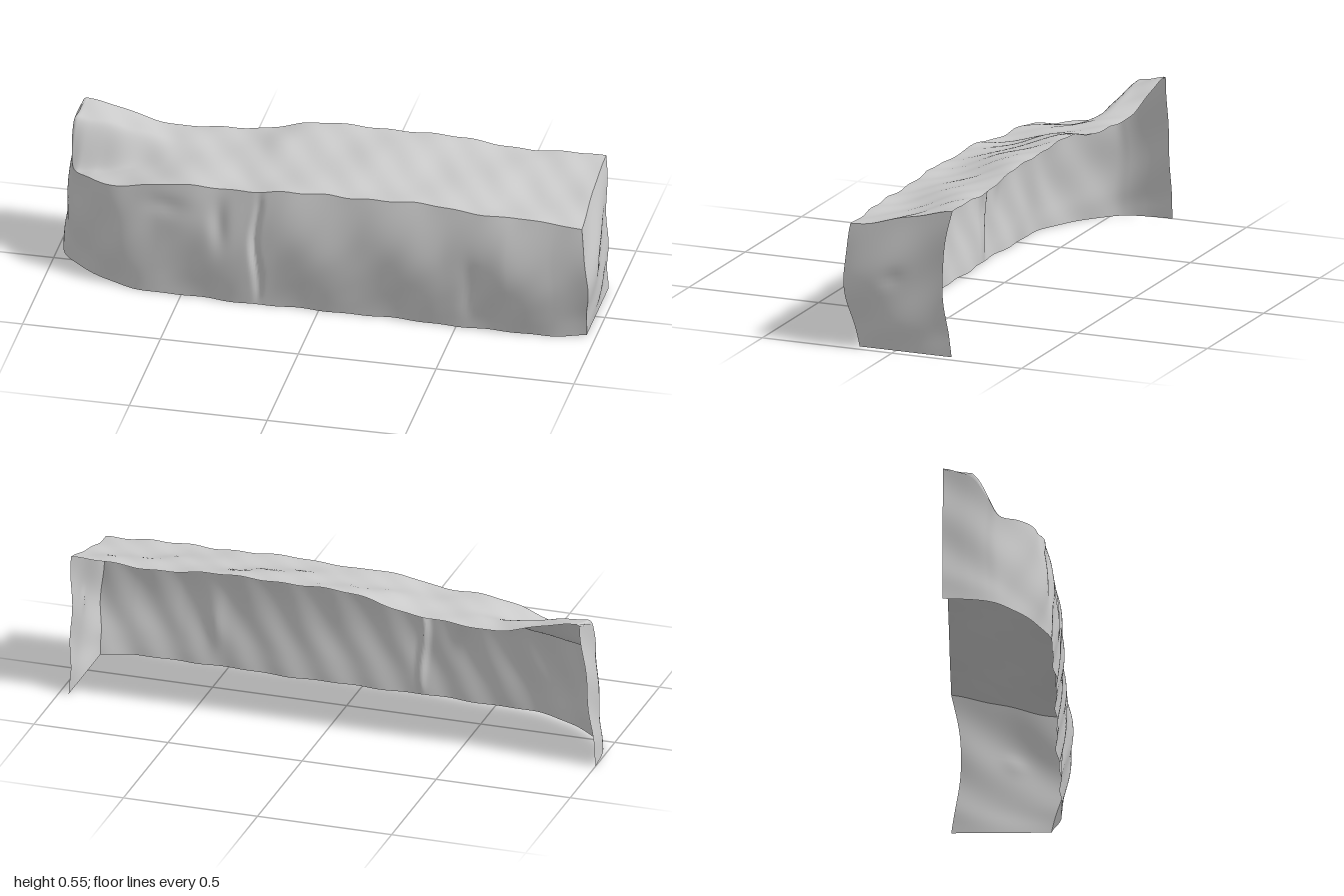
import * as THREE from 'three';

const BACK_Z = -0.215;
const material = new THREE.MeshStandardMaterial({ color: 0xcccccc, side: THREE.DoubleSide });
const smooth = (a, b, x) => THREE.MathUtils.smoothstep(x, a, b);
const dent = (x, c, w) => Math.exp(-(((x - c) / w) ** 2));

// Stations from the back of the rounded end, along the front, to the square end:
// foot x, foot z, rim x, rim z, rim y, back x, back y, bulge
const stations = [
  [-1.0, -0.215, -0.94, -0.215, 0.53, -0.94, 0.53, 0],
  [-0.99, -0.12, -0.95, -0.12, 0.5, -0.93, 0.535, 0],
  [-0.975, -0.06, -0.948, -0.06, 0.42, -0.915, 0.533, 0],
  [-0.95, -0.015, -0.935, -0.02, 0.36, -0.88, 0.53, 0.003],
  [-0.87, 0.06, -0.86, 0.05, 0.365, -0.81, 0.52, 0.008],
  [-0.74, 0.135, -0.74, 0.115, 0.385, -0.72, 0.495, 0.012],
  [-0.6, 0.165, -0.6, 0.135, 0.415, -0.6, 0.47, 0.015],
  [-0.45, 0.17, -0.45, 0.145, 0.435, -0.45, 0.478, 0.02],
  [-0.28, 0.175, -0.28, 0.16, 0.442, -0.28, 0.5, 0.025],
  [-0.15, 0.175, -0.15, 0.165, 0.455, -0.15, 0.53, 0.025],
  [0.15, 0.17, 0.15, 0.165, 0.468, 0.15, 0.548, 0.027],
  [0.45, 0.175, 0.45, 0.165, 0.465, 0.45, 0.54, 0.03],
  [0.68, 0.18, 0.68, 0.175, 0.458, 0.68, 0.528, 0.038],
  [0.85, 0.17, 0.85, 0.175, 0.45, 0.84, 0.53, 0.033],
  [0.965, 0.145, 0.953, 0.172, 0.447, 0.955, 0.532, 0.035],
];
const curve = (pick) => new THREE.CatmullRomCurve3(stations.map((s) => new THREE.Vector3(...pick(s))), false, 'centripetal');
const footCurve = curve((s) => [s[0], 0, s[1]]);
const rimCurve = curve((s) => [s[2], s[4], s[3]]);
const backCurve = curve((s) => [s[5], s[6], BACK_Z]);

function bulgeAt(u) {
  const f = u * (stations.length - 1);
  const i = Math.min(Math.floor(f), stations.length - 2);
  return THREE.MathUtils.lerp(stations[i][7], stations[i + 1][7], f - i);
}

// Front wall, with a vertical crack and a few chipped hollows
function wallPoint(u, v) {
  const p = footCurve.getPoint(u).lerp(rimCurve.getPoint(u), v);
  const belly = Math.sin(Math.PI * Math.pow(v, 1.15));
  p.z += bulgeAt(u) * belly;
  p.x += 0.02 * belly * smooth(0.88, 1, p.x + 0.03);
  const fade = Math.sin(Math.PI * Math.min(v, 0.97));
  p.z -= fade * (0.022 * dent(p.x, -0.225 + 0.01 * Math.sin(v * 9), 0.013)
    + 0.018 * dent(p.x, -0.36, 0.03) * dent(p.y, 0.34, 0.1)
    + 0.012 * dent(p.x, -0.55, 0.08) * dent(p.y, 0.35, 0.035)
    + 0.012 * dent(p.x, 0.55, 0.03) * dent(p.y, 0.12, 0.12));
  return p;
}

// Top: gentle rise on the long part, low ledge with a hump behind it at the rounded end
function topPoint(u, t) {
  const rim = rimCurve.getPoint(u);
  const p = rim.clone().lerp(backCurve.getPoint(u), t);
  const step = (z) => smooth(0.0, 0.12, -z) * 0.93 + 0.07 * smooth(0.1, 0.215, -z);
  const s0 = step(rim.z);
  const ledge = s0 > 0.98 ? t : (step(p.z) - s0) / (1 - s0);
  const gentle = 0.25 * t + 0.75 * smooth(0.1, 1, t);
  const k = smooth(-0.75, -0.45, p.x);
  p.y = rim.y + (backCurve.getPoint(u).y - rim.y) * THREE.MathUtils.lerp(ledge, gentle, k);
  p.y += 0.01 * Math.sin(Math.PI * t) * dent(p.x, -0.5, 0.09);
  return p;
}

// Square end, spanning from the front corner to the open back
function endPoint(t, v) {
  const p = wallPoint(1, v);
  p.addScaledVector(topPoint(1, t).sub(topPoint(1, 0)), v);
  p.z += (BACK_Z - 0.145) * t * (1 - v);
  p.x += Math.sin(Math.PI * v) * (0.012 * Math.sin(t * 5) - 0.006 * dent(t, 0.5, 0.1) * dent(v, 0.55, 0.06));
  return p;
}

// Shared rough-stone displacement, so neighbouring surfaces stay joined
function roughen(p) {
  const { x, y, z } = p;
  const inner = smooth(BACK_Z, BACK_Z + 0.1, z);
  p.z += inner * (0.004 * Math.sin(x * 17 + y * 9) + 0.003 * Math.sin(x * 37 - y * 21 + 1));
  p.y += (y / 0.5) * (0.004 * Math.sin(x * 14 + z * 19) + 0.002 * Math.sin(x * 41 - z * 33));
  p.x += 0.004 * Math.sin(y * 24 + z * 17) * smooth(0, 0.1, y);
  return p;
}

function surface(name, fn, cols, rows) {
  const pos = [], index = [];
  for (let j = 0; j <= rows; j++) {
    for (let i = 0; i <= cols; i++) {
      pos.push(...roughen(fn(i / cols, j / rows)).toArray());
      if (i < cols && j < rows) {
        const a = j * (cols + 1) + i, d = a + cols + 1;
        index.push(a, a + 1, d + 1, a, d + 1, d);
      }
    }
  }
  const geometry = new THREE.BufferGeometry();
  geometry.setAttribute('position', new THREE.Float32BufferAttribute(pos, 3));
  geometry.setIndex(index);
  geometry.computeVertexNormals();
  const mesh = new THREE.Mesh(geometry, material);
  mesh.name = name;
  return mesh;
}

export function createModel() {
  const group = new THREE.Group();
  group.name = 'rockLedge';
  group.add(
    surface('frontWall', wallPoint, 224, 24),
    surface('topSurface', topPoint, 224, 24),
    surface('squareEnd', endPoint, 24, 24),
  );
  return group;
}
